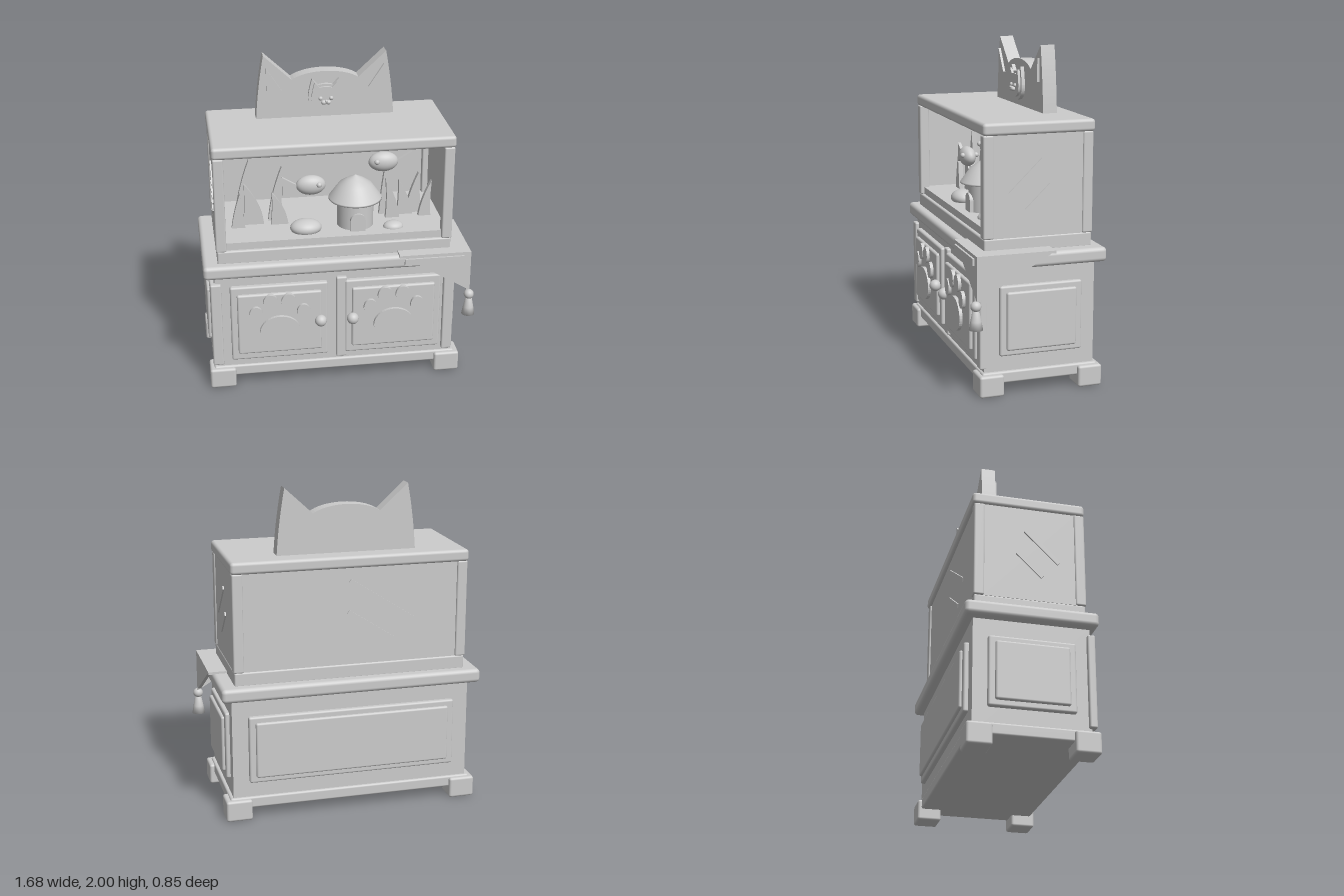
import * as THREE from 'three';
import { RoundedBoxGeometry } from 'three/addons/geometries/RoundedBoxGeometry.js';

const CX = -0.033; // centre line of the cabinet

export function createModel() {
  const model = new THREE.Group();
  const grey = new THREE.MeshStandardMaterial({ color: 0xcccccc });
  grey.name = 'light grey';

  function add(name, geometry, x = 0, y = 0, z = 0) {
    const mesh = new THREE.Mesh(geometry, grey);
    mesh.name = name;
    mesh.position.set(x, y, z);
    model.add(mesh);
    return mesh;
  }
  // box between two corners, rounded when r > 0
  function box(name, x0, x1, y0, y1, z0, z1, r = 0) {
    const w = x1 - x0, h = y1 - y0, d = z1 - z0;
    const g = r ? new RoundedBoxGeometry(w, h, d, 3, r) : new THREE.BoxGeometry(w, h, d);
    return add(name, g, (x0 + x1) / 2, (y0 + y1) / 2, (z0 + z1) / 2);
  }
  // flat outline in x,y given thickness from z0 to z1
  function plate(name, shape, z0, z1) {
    const s = Array.isArray(shape) ? new THREE.Shape(shape.map(p => new THREE.Vector2(...p))) : shape;
    return add(name, new THREE.ExtrudeGeometry(s, { depth: z1 - z0, bevelEnabled: false, curveSegments: 20 }), 0, 0, z0);
  }
  function ball(name, x, y, z, rx, ry = rx, rz = rx) {
    const m = add(name, new THREE.SphereGeometry(1, 28, 18), x, y, z);
    m.scale.set(rx, ry, rz);
    return m;
  }
  function oval(name, x, y, rx, ry, z0, z1) {
    const s = new THREE.Shape();
    s.absellipse(x, y, rx, ry, 0, Math.PI * 2);
    return plate(name, s, z0, z1);
  }

  // cabinet
  box('cabinetBody', -0.775, 0.71, 0.08, 0.78, -0.37, 0.31);
  box('plinth', -0.797, 0.731, 0.075, 0.145, -0.387, 0.325, 0.012);
  for (const x of [-0.825, 0.6]) {
    for (const z of [-0.41, 0.2]) box('foot', x, x + 0.16, 0.005, 0.135, z, z + 0.148, 0.015);
  }
  box('countertop', -0.84, 0.774, 0.767, 0.853, -0.427, 0.353, 0.025);
  for (const x of [-0.803, -0.03, 0.645]) box('pilaster', x, x + 0.066, 0.163, 0.725, 0.29, 0.335, 0.01);

  // doors with raised panels, knobs and paw reliefs
  for (const side of [-1, 1]) {
    const cx = CX + 0.003 + side * 0.355;
    box('doorFrame', cx - 0.3, cx + 0.3, 0.195, 0.702, 0.29, 0.34, 0.012);
    box('doorPanel', cx - 0.26, cx + 0.26, 0.245, 0.655, 0.32, 0.36, 0.012);
    oval('pawPad', cx, 0.4, 0.125, 0.105, 0.35, 0.38);
    for (const [dx, y, rx, ry] of [[0.147, 0.525, 0.042, 0.053], [0.056, 0.602, 0.046, 0.054]]) {
      for (const s of [-1, 1]) oval('pawToe', cx + s * dx, y, rx, ry, 0.35, 0.38);
    }
    ball('doorKnob', -0.032 + side * 0.1, 0.45, 0.366, 0.037);
  }

  // raised panels on the sides and back
  for (const s of [-1, 1]) {
    const at = (d0, d1) => [CX + s * d0, CX + s * d1].sort((a, b) => a - b);
    box('sidePanelFrame', ...at(0.72, 0.769), 0.24, 0.66, -0.285, 0.22, 0.012);
    box('sidePanel', ...at(0.74, 0.787), 0.275, 0.625, -0.247, 0.182, 0.012);
  }
  box('backPanelFrame', CX - 0.645, CX + 0.645, 0.24, 0.66, -0.398, -0.35, 0.012);
  box('backPanel', CX - 0.605, CX + 0.605, 0.275, 0.625, -0.415, -0.37, 0.012);

  // tank
  box('tankBase', -0.75, 0.686, 0.845, 0.932, -0.36, 0.3, 0.01);
  box('tankLid', -0.762, 0.698, 1.527, 1.6, -0.373, 0.307, 0.02);
  for (const x of [-0.757, 0.627]) {
    for (const z of [-0.364, 0.242]) box('tankPost', x, x + 0.064, 0.93, 1.53, z, z + 0.063, 0.01);
  }
  box('tankBackWall', -0.7, 0.64, 0.93, 1.53, -0.353, -0.335);
  box('tankLeftWall', 0.665, 0.683, 0.93, 1.53, -0.31, 0.25);
  box('tankRightWall', -0.749, -0.731, 0.93, 1.53, -0.31, 0.25);
  box('sandBed', -0.735, 0.67, 0.92, 0.978, -0.34, 0.28);

  // slanted glints on the walls
  function glint(a, b) {
    const p = new THREE.Vector3(...a), q = new THREE.Vector3(...b);
    const onBack = Math.abs(p.z - q.z) < 0.001;
    const len = p.distanceTo(q), t = 0.026, thin = 0.012;
    const m = add('glint', new THREE.BoxGeometry(onBack ? t : thin, len, onBack ? thin : t));
    m.position.copy(p).lerp(q, 0.5);
    m.quaternion.setFromUnitVectors(new THREE.Vector3(0, 1, 0), q.sub(p).normalize());
  }
  for (const x of [-0.752, 0.686]) {
    glint([x, 1.185, 0.145], [x, 1.38, -0.056]);
    glint([x, 1.085, 0.045], [x, 1.23, -0.105]);
  }
  glint([-0.02, 1.45, -0.356], [-0.42, 1.19, -0.356]);
  glint([-0.01, 1.26, -0.356], [-0.285, 1.08, -0.356]);

  // fish: x, y, direction faced
  for (const [x, y, f] of [[-0.16, 1.27, 1], [0.285, 1.398, -1]]) {
    const z = 0.14;
    ball('fishBody', x, y, z, 0.091, 0.062, 0.05);
    for (const s of [-1, 1]) ball('fishEye', x + f * 0.046, y + 0.014, z + s * 0.043, 0.016);
    const tail = [[x - f * 0.075, y], [x - f * 0.175, y + 0.06], [x - f * 0.175, y - 0.06]];
    plate('fishTail', tail, z - 0.01, z + 0.01);
  }

  // hut with an arched doorway
  const HX = 0.12, HZ = 0.1;
  add('hutWall', new THREE.CylinderGeometry(0.113, 0.113, 0.19, 36), HX, 1.068, HZ);
  const roof = [[0, 1.152], [0.165, 1.152], [0.162, 1.162], [0.1, 1.248], [0.05, 1.28], [0, 1.305]];
  add('hutRoof', new THREE.LatheGeometry(roof.map(p => new THREE.Vector2(...p)), 36), HX, 0, HZ);
  const arch = new THREE.Shape();
  arch.moveTo(HX - 0.047, 0.975);
  arch.lineTo(HX + 0.047, 0.975);
  arch.lineTo(HX + 0.047, 1.045);
  arch.absarc(HX, 1.045, 0.047, 0, Math.PI);
  plate('hutDoor', arch, HZ + 0.05, HZ + 0.125);

  // pebbles and water plants
  ball('pebble', -0.195, 0.998, 0.16, 0.097, 0.052, 0.075);
  ball('pebble', 0.347, 0.978, 0.18, 0.063, 0.036, 0.05);
  // each blade: base left, base right, tip x, tip y, z
  const blades = [
    [-0.645, -0.56, -0.59, 1.2, 0.06], [-0.62, -0.51, -0.525, 1.39, -0.02], [-0.57, -0.44, -0.56, 1.25, 0.02],
    [-0.41, -0.32, -0.322, 1.335, -0.02], [-0.4, -0.29, -0.39, 1.19, 0.04],
    [0.29, 0.38, 0.338, 1.38, -0.02], [0.32, 0.41, 0.32, 1.24, 0.04], [0.4, 0.5, 0.41, 1.21, 0.0],
    [0.46, 0.56, 0.54, 1.245, -0.02], [0.53, 0.61, 0.612, 1.215, 0.04],
  ];
  for (const [a, b, tx, ty, z] of blades) {
    const s = new THREE.Shape();
    s.moveTo(a, 0.97);
    s.lineTo(b, 0.97);
    s.quadraticCurveTo(b - 0.01, (0.97 + ty) / 2, tx, ty);
    s.quadraticCurveTo(a + 0.015, (0.97 + ty) / 2, a, 0.97);
    plate('waterPlant', s, z - 0.015, z + 0.015);
  }

  // eared crest on the lid
  const EX = -0.0295;
  const crest = new THREE.Shape();
  crest.moveTo(EX - 0.428, 1.595);
  crest.lineTo(EX + 0.428, 1.595);
  crest.quadraticCurveTo(EX + 0.415, 1.8, EX + 0.377, 2);
  crest.lineTo(EX + 0.206, 1.842);
  crest.bezierCurveTo(EX + 0.11, 1.905, EX - 0.11, 1.905, EX - 0.206, 1.842);
  crest.lineTo(EX - 0.377, 2);
  crest.quadraticCurveTo(EX - 0.415, 1.8, EX - 0.428, 1.595);
  plate('crest', crest, -0.247, -0.16);
  for (const s of [-1, 1]) {
    plate('innerEar', [[EX + s * 0.362, 1.923], [EX + s * 0.362, 1.78], [EX + s * 0.268, 1.78]], -0.165, -0.145);
  }
  // layered cat face on the crest
  function catHead(k) {
    const p = (x, y) => [EX + x * k, 1.735 + y * k];
    const s = new THREE.Shape();
    s.moveTo(...p(0, -0.1));
    s.bezierCurveTo(...p(0.07, -0.1), ...p(0.11, -0.06), ...p(0.107, 0));
    s.quadraticCurveTo(...p(0.1, 0.06), ...p(0.083, 0.112));
    s.lineTo(...p(0.045, 0.072));
    s.quadraticCurveTo(...p(0, 0.085), ...p(-0.045, 0.072));
    s.lineTo(...p(-0.083, 0.112));
    s.quadraticCurveTo(...p(-0.1, 0.06), ...p(-0.107, 0));
    s.bezierCurveTo(...p(-0.11, -0.06), ...p(-0.07, -0.1), ...p(0, -0.1));
    return s;
  }
  plate('catFaceRim', catHead(1), -0.165, -0.138);
  plate('catFace', catHead(0.82), -0.145, -0.123);
  for (const s of [-1, 1]) {
    ball('catEye', EX + s * 0.033, 1.727, -0.122, 0.013);
    ball('catMuzzle', EX + s * 0.014, 1.703, -0.116, 0.017, 0.014, 0.016);
  }
  ball('catNose', EX, 1.714, -0.104, 0.009);

  // cloth draped over the front corner, with band and tassel
  box('clothTop', 0.355, 0.8, 0.85, 0.866, -0.098, 0.38);
  plate('clothFrontFlap', [[0.36, 0.866], [0.8, 0.6], [0.8, 0.866]], 0.356, 0.38);
  const flap = plate('clothSideFlap', [[0.098, 0.866], [-0.38, 0.866], [-0.38, 0.6]], 0, 0.022);
  flap.rotation.y = Math.PI / 2;
  flap.position.set(0.778, 0, 0);
  box('clothBand', 0.385, 0.755, 0.803, 0.846, 0.375, 0.392);
  ball('tasselKnot', 0.795, 0.576, 0.385, 0.031);
  const skirt = [[0, 0.44], [0.041, 0.44], [0.032, 0.49], [0.019, 0.555], [0, 0.56]];
  add('tasselSkirt', new THREE.LatheGeometry(skirt.map(p => new THREE.Vector2(...p)), 20), 0.795, 0, 0.385);

  return model;
}
